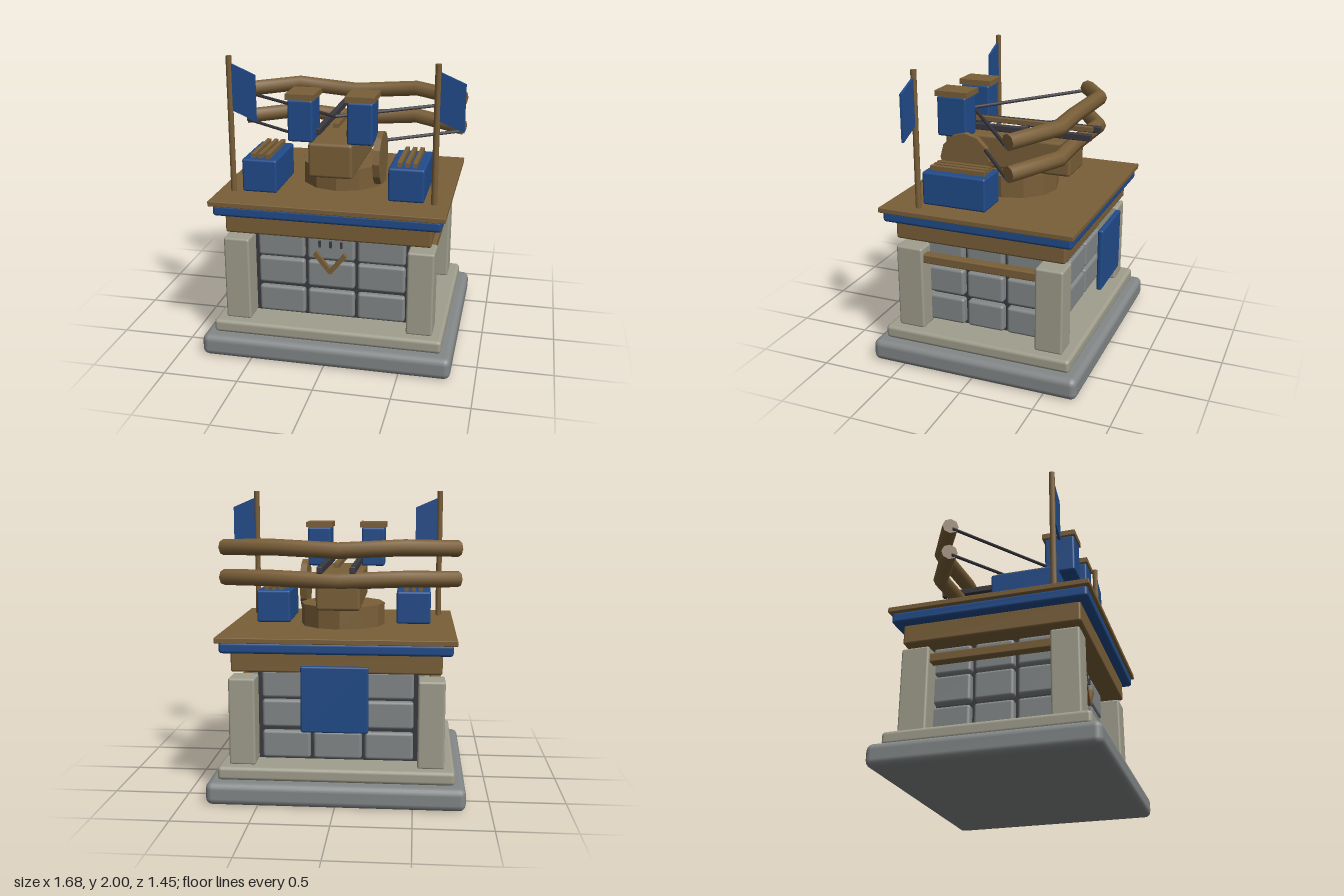
import * as THREE from 'three';
import { RoundedBoxGeometry } from 'three/addons/geometries/RoundedBoxGeometry.js';

const mat = (name, color, extra = {}) => new THREE.MeshStandardMaterial({ name, color, ...extra });

// Straight-segment path through a few points
class Polyline extends THREE.Curve {
  constructor(points) { super(); this.points = points; }
  getPoint(t, target = new THREE.Vector3()) {
    const n = this.points.length - 1;
    const i = Math.min(Math.floor(t * n), n - 1);
    return target.lerpVectors(this.points[i], this.points[i + 1], t * n - i);
  }
  getPointAt(t, target) { return this.getPoint(t, target); }
  getTangentAt(t, target) { return this.getTangent(t, target); }
}

export function createModel() {
  const model = new THREE.Group();
  model.name = 'ballistaTower';
  const stone = mat('stone grey', 0x838788);
  const pale = mat('pale stone', 0xa09e8d);
  const wood = mat('brown wood', 0x7a5f38);
  const blue = mat('blue paint', 0x204b8a);
  const dark = mat('dark iron', 0x393940);

  const add = (name, geometry, material, x = 0, y = 0, z = 0) => {
    const mesh = new THREE.Mesh(geometry, material);
    mesh.name = name;
    mesh.position.set(x, y, z);
    model.add(mesh);
    return mesh;
  };
  // Box given by its limits, with an optional rounded edge
  const box = (name, material, [x0, x1], [y0, y1], [z0, z1], r = 0) => {
    const size = [x1 - x0, y1 - y0, z1 - z0];
    const geometry = r ? new RoundedBoxGeometry(...size, 2, r) : new THREE.BoxGeometry(...size);
    return add(name, geometry, material, (x0 + x1) / 2, (y0 + y1) / 2, (z0 + z1) / 2);
  };
  const around = (c, half) => [c - half, c + half];
  // Thin rod between two points
  const rod = (name, material, a, b, r, sides = 6) => {
    const dir = b.clone().sub(a);
    const mesh = add(name, new THREE.CylinderGeometry(r, r, dir.length(), sides), material);
    mesh.position.copy(a).add(b).multiplyScalar(0.5);
    mesh.quaternion.setFromUnitVectors(new THREE.Vector3(0, 1, 0), dir.normalize());
    return mesh;
  };
  const V = (x, y, z) => new THREE.Vector3(x, y, z);

  // Foundation
  box('foundation', stone, [-0.84, 0.84], [0, 0.15], [-0.725, 0.725], 0.045);
  box('plinth', pale, [-0.77, 0.77], [0.15, 0.24], [-0.655, 0.655], 0.025);

  // Masonry: dark core with a grid of stones on each side
  box('mortarCore', dark, [-0.53, 0.53], [0.24, 0.87], [-0.425, 0.425]);
  for (const y of [0.345, 0.555, 0.755]) {
    for (const i of [-1, 0, 1]) {
      for (const s of [-1, 1]) {
        box('frontBackStone', stone, around(i * 0.34, 0.16), around(y, 0.093), around(s * 0.42, 0.04), 0.02);
        box('sideStone', stone, around(s * 0.535, 0.045), around(y, 0.093), around(i * 0.285, 0.13), 0.02);
      }
    }
  }
  for (const sx of [-1, 1]) {
    for (const sz of [-1, 1]) {
      box('cornerPillar', pale, around(sx * 0.615, 0.087), [0.235, 0.815], around(sz * 0.49, 0.094), 0.015);
    }
    box('sideRail', wood, around(sx * 0.645, 0.035), [0.71, 0.77], [-0.42, 0.42], 0.008);
  }

  // Chevron and ticks on the front wall
  for (const s of [-1, 1]) {
    const arm = add('chevronArm', new THREE.BoxGeometry(0.03, 0.17, 0.03), wood, s * 0.05, 0.65, 0.475);
    arm.rotation.z = -s * 0.68;
  }
  for (const x of [-0.073, 0, 0.073]) {
    box('wallTick', dark, around(x, 0.008), [0.757, 0.8], [0.455, 0.475]);
  }

  // Deck
  box('deckBeam', wood, [-0.68, 0.68], [0.86, 1.0], [-0.59, 0.59], 0.015);
  box('blueTrim', blue, [-0.745, 0.745], [0.99, 1.065], [-0.65, 0.65], 0.02);
  box('deck', wood, [-0.77, 0.77], [1.06, 1.095], [-0.667, 0.667], 0.005);
  box('backBanner', blue, [-0.215, 0.215], [0.495, 0.925], [-0.692, -0.655], 0.012);

  // Flags on poles, with the cloth sagging toward its free edge
  for (const x of [-0.67, 0.67]) {
    add('flagPole', new THREE.CylinderGeometry(0.02, 0.02, 0.905, 8), wood, x, 1.5475, 0.42);
    const cloth = new THREE.BoxGeometry(0.155, 0.305, 0.016);
    const p = cloth.attributes.position;
    for (let i = 0; i < p.count; i++) p.setY(i, p.getY(i) - 0.43 * p.getX(i));
    cloth.computeVertexNormals();
    add('flag', cloth, blue, x + 0.0955, 1.763, 0.42);
  }

  // Ammunition crates with slats on top
  for (const x of [-0.49, 0.487]) {
    box('crate', blue, around(x, 0.118), [1.095, 1.32], [-0.02, 0.425], 0.015);
    for (const dx of [-0.05, 0, 0.05]) {
      box('crateSlat', wood, around(x + dx, 0.014), [1.315, 1.35], [0.005, 0.39]);
    }
  }

  // Turntable, stock and winding wheel
  const turntable = new THREE.CylinderGeometry(0.29, 0.29, 0.15, 12).toNonIndexed();
  turntable.computeVertexNormals();
  turntable.rotateY(Math.PI / 2);
  add('turntable', turntable, wood, 0, 1.168, 0);
  box('stock', wood, [-0.145, 0.145], [1.24, 1.47], [-0.43, 0.475], 0.02);
  const wheel = new THREE.CylinderGeometry(0.178, 0.178, 0.045, 12).toNonIndexed();
  wheel.computeVertexNormals();
  wheel.rotateZ(Math.PI / 2);
  add('windingWheel', wheel, wood, 0.29, 1.337, 0.255);

  // Rails and bolt channel
  for (const s of [-1, 1]) {
    box('ironRail', dark, around(s * 0.105, 0.018), [1.495, 1.54], [-0.56, 0.37], 0.006);
  }
  box('boltChannel', wood, around(0, 0.018), [1.53, 1.56], [-0.535, 0.3]);

  // Blue posts with wooden caps
  for (const x of [-0.195, 0.192]) {
    box('post', blue, around(x, 0.083), [1.47, 1.745], [0.258, 0.47], 0.015);
    box('postCap', wood, around(x, 0.094), [1.745, 1.782], [0.243, 0.478]);
  }

  // Twin bows with strings
  for (const dy of [0, -0.2]) {
    const half = [[0.78, 1.637, -0.25], [0.43, 1.655, -0.447]];
    const path = new Polyline([
      ...half.map(([x, y, z]) => V(-x, y + dy, z)),
      V(0, 1.63 + dy, -0.405),
      ...half.reverse().map(([x, y, z]) => V(x, y + dy, z)),
    ]);
    add('bow', new THREE.TubeGeometry(path, 4, 0.054, 8), wood);
    for (const t of [0, 1]) {
      const cap = add('bowTip', new THREE.CircleGeometry(0.054, 8), wood);
      const out = path.getTangent(t).multiplyScalar(t ? 1 : -1);
      cap.position.copy(path.getPoint(t));
      cap.quaternion.setFromUnitVectors(V(0, 0, 1), out);
    }
    for (const s of [-1, 1]) {
      rod('bowString', dark, V(s * 0.775, 1.615 + dy, -0.235), V(0, 1.615 + dy, 0.325), 0.012);
    }
  }
  return model;
}
